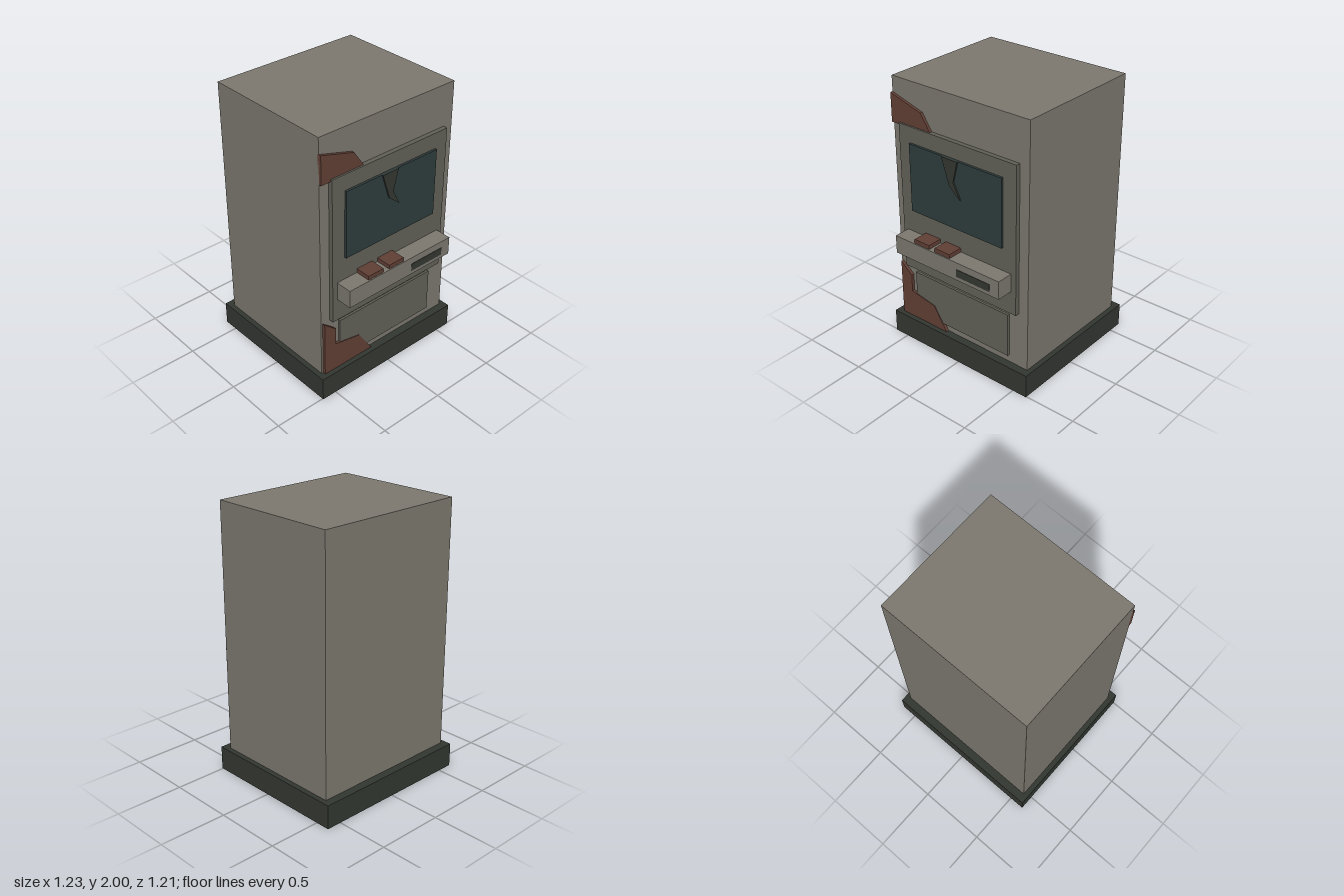
import * as THREE from 'three';

const COLORS = { casing: 0x7b776e, panel: 0x605f56, dark: 0x323630, glass: 0x2e3b3b, rust: 0x603f35 };
const mats = {};
for (const key in COLORS) mats[key] = new THREE.MeshStandardMaterial({ color: COLORS[key], flatShading: true });

// Box given by its extents on each axis
function box(name, mat, [x0, x1], [y0, y1], [z0, z1]) {
  const mesh = new THREE.Mesh(new THREE.BoxGeometry(x1 - x0, y1 - y0, z1 - z0), mats[mat]);
  mesh.position.set((x0 + x1) / 2, (y0 + y1) / 2, (z0 + z1) / 2);
  mesh.name = name;
  return mesh;
}

// Flat plate with a polygonal outline, from z0 to z1
function plate(name, mat, outline, z0, z1) {
  const shape = new THREE.Shape(outline.map(([x, y]) => new THREE.Vector2(x, y)));
  const geometry = new THREE.ExtrudeGeometry(shape, { depth: z1 - z0, bevelEnabled: false });
  const mesh = new THREE.Mesh(geometry, mats[mat]);
  mesh.position.z = z0;
  mesh.name = name;
  return mesh;
}

export function createModel() {
  const model = new THREE.Group();
  model.name = 'terminalKiosk';

  // Cabinet on its plinth
  model.add(
    box('plinth', 'dark', [-0.613, 0.613], [0, 0.175], [-0.607, 0.507]),
    box('cabinet', 'casing', [-0.576, 0.576], [0.175, 2], [-0.548, 0.449]),
  );

  // Front panels and screen
  model.add(
    box('fascia', 'panel', [-0.5, 0.5], [0.6, 1.695], [0.44, 0.482]),
    box('servicePanel', 'panel', [-0.423, 0.42], [0.23, 0.562], [0.44, 0.466]),
    box('screen', 'glass', [-0.398, 0.394], [1.08, 1.58], [0.475, 0.499]),
    plate('screenCrack', 'dark',
      [[-0.1, 1.58], [-0.038, 1.39], [0.055, 1.312], [-0.003, 1.425], [0.036, 1.58]], 0.49, 0.509),
  );

  // Control shelf with slot and two keys
  model.add(
    box('controlShelf', 'casing', [-0.461, 0.459], [0.772, 0.907], [0.475, 0.604]),
    box('cardSlot', 'dark', [0.095, 0.382], [0.8, 0.856], [0.59, 0.607]),
  );
  for (const x of [-0.29, -0.106]) {
    model.add(box('key', 'rust', [x, x + 0.133], [0.9, 0.937], [0.475, 0.595]));
  }

  // Rust patches on the front
  model.add(
    plate('upperRust', 'rust',
      [[-0.576, 1.678], [-0.5, 1.678], [-0.5, 1.69], [-0.228, 1.69], [-0.31, 1.81], [-0.576, 1.887]], 0.44, 0.469),
    plate('lowerRust', 'rust',
      [[-0.562, 0.17], [-0.135, 0.17], [-0.252, 0.348], [-0.464, 0.388], [-0.464, 0.52], [-0.562, 0.602]], 0.44, 0.471),
  );
  return model;
}
